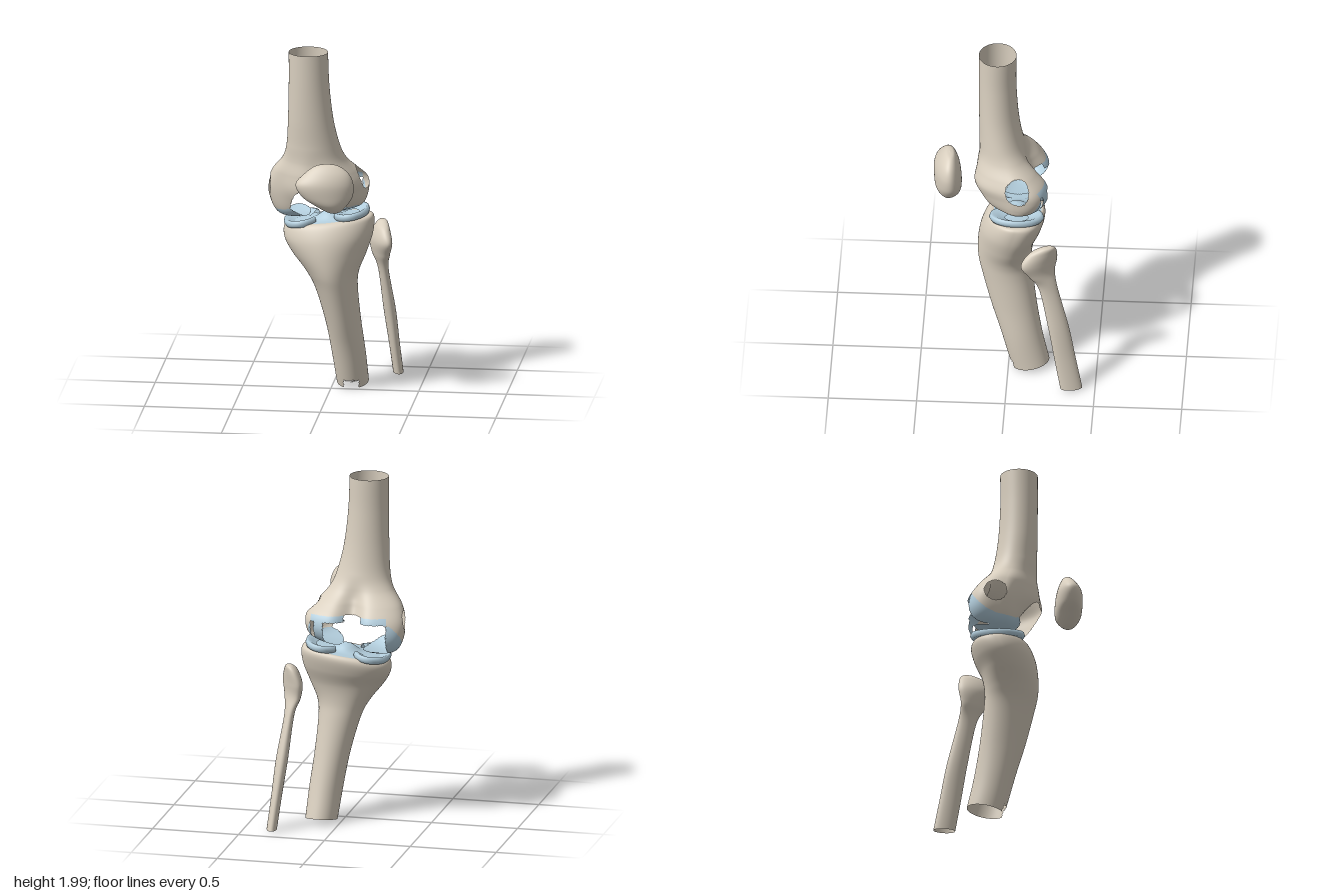
import * as THREE from 'three';

const bone = new THREE.MeshStandardMaterial({ color: 0xd9cfbf, side: THREE.DoubleSide });
const cartilage = new THREE.MeshStandardMaterial({ color: 0xb4cfde, side: THREE.DoubleSide });
const ramp = (a, b, t) => THREE.MathUtils.smoothstep(t, a, b);

// Smooth skin through sections listed top to bottom: [y, xMin, xMax, zMin, zMax, skew, taper, flatBack].
// warp(v) moves a point; sort(x, y, z) returns 'bone', 'cartilage' or null (an opening).
function loft(name, rows, { rings = 60, sides = 48, warp = () => {}, sort = () => 'bone' } = {}) {
  const size = 8;
  const samples = rows.flatMap(r => [...r, 0, 0, 0].slice(0, size));
  const spline = new THREE.CubicInterpolant(rows.map((_, i) => i), samples, size, new Float32Array(size));
  const pos = [], all = [], v = new THREE.Vector3();
  for (let i = 0; i <= rings; i++) {
    const [y, x0, x1, z0, z1, skew, taper, flat] = spline.evaluate((i / rings) * (rows.length - 1));
    for (let j = 0; j < sides; j++) {
      const a = (j / sides) * Math.PI * 2;
      let s = Math.sin(a + skew);
      if (s < 0) s = -Math.pow(-s, 1 - flat);
      v.set((x0 + x1) / 2 + (x1 - x0) / 2 * Math.cos(a) * (1 - taper * s), y, (z0 + z1) / 2 + (z1 - z0) / 2 * s);
      warp(v);
      pos.push(v.x, v.y, v.z);
    }
  }
  for (let i = 0; i < rings; i++) {
    for (let j = 0; j < sides; j++) {
      const k = (j + 1) % sides, a = i * sides + j, b = i * sides + k, c = a + sides, d = b + sides;
      all.push(a, b, c, b, d, c);
    }
  }
  const full = new THREE.BufferGeometry();
  full.setAttribute('position', new THREE.Float32BufferAttribute(pos, 3));
  full.setIndex(all);
  full.computeVertexNormals();

  // Split the skin by tissue and leave out the openings
  const split = { bone: [], cartilage: [] };
  for (let t = 0; t < all.length; t += 3) {
    const tri = all.slice(t, t + 3);
    const mid = n => (pos[tri[0] * 3 + n] + pos[tri[1] * 3 + n] + pos[tri[2] * 3 + n]) / 3;
    const kind = sort(mid(0), mid(1), mid(2));
    if (kind) split[kind].push(...tri);
  }
  const group = new THREE.Group();
  group.name = name;
  for (const [kind, material] of [['Bone', bone], ['Cartilage', cartilage]]) {
    const index = split[kind.toLowerCase()];
    if (!index.length) continue;
    const geo = new THREE.BufferGeometry();
    geo.setAttribute('position', full.getAttribute('position'));
    geo.setAttribute('normal', full.getAttribute('normal'));
    geo.setIndex(index);
    const mesh = new THREE.Mesh(geo, material);
    mesh.name = name + kind;
    group.add(mesh);
  }
  return group;
}

// Thigh bone: hollow shaft widening to two condyles with openings
function femur() {
  const rows = [
    [1.995, -0.23, -0.008, -0.032, 0.18],
    [1.8, -0.23, 0, -0.032, 0.18],
    [1.6, -0.235, 0.022, -0.045, 0.178],
    [1.45, -0.245, 0.055, -0.07, 0.175, 0, 0.05],
    [1.36, -0.27, 0.088, -0.105, 0.182, 0, 0.15, 0.1],
    [1.28, -0.325, 0.145, -0.17, 0.205, 0, 0.23, 0.25],
    [1.21, -0.35, 0.182, -0.222, 0.215, 0, 0.25, 0.32],
    [1.14, -0.345, 0.192, -0.238, 0.185, 0, 0.22, 0.32],
    [1.08, -0.32, 0.192, -0.22, 0.14, 0, 0.15, 0.25],
    [1.045, -0.28, 0.18, -0.18, 0.08, 0, 0.05, 0.1],
    [1.03, -0.22, 0.13, -0.12, 0.02],
    [1.026, -0.05, -0.05, -0.05, -0.05],
  ];
  const warp = v => {
    const low = 1 - ramp(1.2, 1.45, v.y);
    // hollow between the condyles at the back, shallow groove in front, outer front edge prominent
    const mid = Math.exp(-(((v.x + 0.07) / 0.065) ** 2)) * low;
    if (v.z < 0) v.z += 0.08 * mid * ramp(0, 0.15, -v.z);
    else v.z += (0.18 * (v.x + 0.05) * low - 0.02 * mid) * ramp(0, 0.15, v.z);
    v.y += 0.17 * (v.x + 0.06) * (1 - ramp(1.05, 1.35, v.y));
  };
  const sort = (x, y, z) => {
    // round windows in both sides
    if (x > 0.08 && Math.hypot(z + 0.05, y - 1.24) < 0.066) return null;
    if (x < -0.24 && Math.hypot(z + 0.05, y - 1.185) < 0.063) return null;
    // bearing faces under the condyles
    const pad = cx => Math.hypot((x - cx) / 0.08, (z + 0.045) / 0.13) < 1;
    if (y < 1.09 && (pad(-0.2) || pad(0.085))) return 'cartilage';
    // arched gap between the condyles
    const arch = 1.2 - 0.1 * Math.abs((x + 0.06) / 0.155) ** 6;
    if (x > -0.23 && x < 0.11 && z > -0.1 && y < arch) return null;
    // open backs of the condyles below a cartilage rim, with a strip on the outer one
    if (z < -0.09 && y < 1.23 && x > -0.28 && x < 0.16) {
      const rim = y > 1.195 && (x < -0.13 || x > -0.03);
      return rim || (x > 0.08 && x < 0.14) ? 'cartilage' : null;
    }
    // cartilage rim round the lower edge
    return y < 1.19 && Math.hypot(z, y - 1.24) > 0.19 ? 'cartilage' : 'bone';
  };
  return loft('femur', rows, { rings: 200, sides: 180, warp, sort });
}

// Shin bone: sloping plateau, tuberosity in front, open lower end
function tibia() {
  const rows = [
    [1.04, -0.02, -0.02, -0.04, -0.04],
    [1.03, -0.055, 0.02, -0.08, 0],
    [1.002, -0.11, 0.08, -0.12, 0.04],
    [0.996, -0.2, 0.17, -0.165, 0.075],
    [0.993, -0.255, 0.225, -0.19, 0.11, 0, 0, 0.2],
    [0.96, -0.272, 0.24, -0.2, 0.137, 0, 0.03, 0.25],
    [0.89, -0.26, 0.232, -0.18, 0.164, 0, 0.1, 0.15],
    [0.8, -0.213, 0.196, -0.14, 0.178, 0, 0.2],
    [0.7, -0.138, 0.157, -0.125, 0.177, 0, 0.2],
    [0.6, -0.088, 0.15, -0.132, 0.155, 0, 0.15],
    [0.4, -0.035, 0.165, -0.157, 0.1, 0, 0.1],
    [0.2, -0.002, 0.188, -0.192, 0.035],
    [0.02, 0.02, 0.2, -0.23, -0.02],
  ];
  const warp = v => {
    v.y += 0.13 * (v.x + 0.01) * ramp(0.75, 0.98, v.y);
    // the cut end slopes down towards the front
    v.y -= 0.2 * (v.z + 0.125) * (1 - ramp(0, 0.3, v.y));
  };
  const sort = (x, y, z) => {
    // small broken notch in the cut end
    if (y < 0.045 && x > 0.07 && x < 0.155 && z > -0.12) return null;
    // cartilage on the plateau
    return y > 0.95 && Math.hypot((x + 0.015) / 0.22, (z + 0.045) / 0.135) < 1 ? 'cartilage' : 'bone';
  };
  return loft('tibia', rows, { rings: 120, sides: 96, warp, sort });
}

// Slender outer bone with an oblique head
function fibula() {
  return loft('fibula', [
    [0.943, 0.272, 0.272, -0.225, -0.225, 0.4],
    [0.935, 0.245, 0.295, -0.262, -0.185, 0.45],
    [0.9, 0.216, 0.316, -0.278, -0.12, 0.6],
    [0.83, 0.192, 0.335, -0.28, -0.08, 0.75],
    [0.75, 0.203, 0.317, -0.268, -0.125, 0.7],
    [0.65, 0.238, 0.302, -0.285, -0.182, 0.4],
    [0.4, 0.262, 0.335, -0.35, -0.235, 0.3],
    [0.2, 0.287, 0.352, -0.39, -0.27, 0.3],
    [0.01, 0.308, 0.37, -0.428, -0.305, 0.3],
  ], { rings: 80, sides: 40 });
}

// Kneecap: a rounded, slightly tilted lens
function patella() {
  return loft('patella', [
    [1.412, 0.02, 0.02, 0.335, 0.335, -0.2],
    [1.402, -0.045, 0.085, 0.31, 0.365, -0.2],
    [1.36, -0.105, 0.142, 0.29, 0.4, -0.2],
    [1.3, -0.155, 0.168, 0.275, 0.428, -0.25],
    [1.23, -0.12, 0.165, 0.268, 0.428, -0.25],
    [1.18, -0.05, 0.138, 0.276, 0.415, -0.2],
    [1.14, 0.015, 0.1, 0.31, 0.38, -0.1],
    [1.125, 0.06, 0.06, 0.345, 0.345, -0.1],
  ], { rings: 60, sides: 56 });
}

// C-shaped wedge of cartilage, open towards the middle of the joint
function meniscus(name, x, y, side) {
  const profile = [[0.045, -0.004], [0.085, -0.016], [0.1, -0.017], [0.107, 0], [0.103, 0.018], [0.092, 0.021], [0.07, 0.008], [0.045, -0.004]]
    .map(p => new THREE.Vector2(...p));
  const geo = new THREE.LatheGeometry(profile, 48, -side * Math.PI / 2 + 0.6, Math.PI * 2 - 1.2);
  const mesh = new THREE.Mesh(geo, cartilage);
  mesh.name = name;
  mesh.scale.z = 1.45;
  mesh.rotation.z = 0.16;
  mesh.position.set(x, y, -0.045);
  return mesh;
}

export function createModel() {
  const model = new THREE.Group();
  model.name = 'kneeJoint';
  model.add(
    femur(), tibia(), fibula(), patella(),
    meniscus('innerMeniscus', -0.165, 0.983, -1),
    meniscus('outerMeniscus', 0.11, 1.03, 1),
  );
  return model;
}
